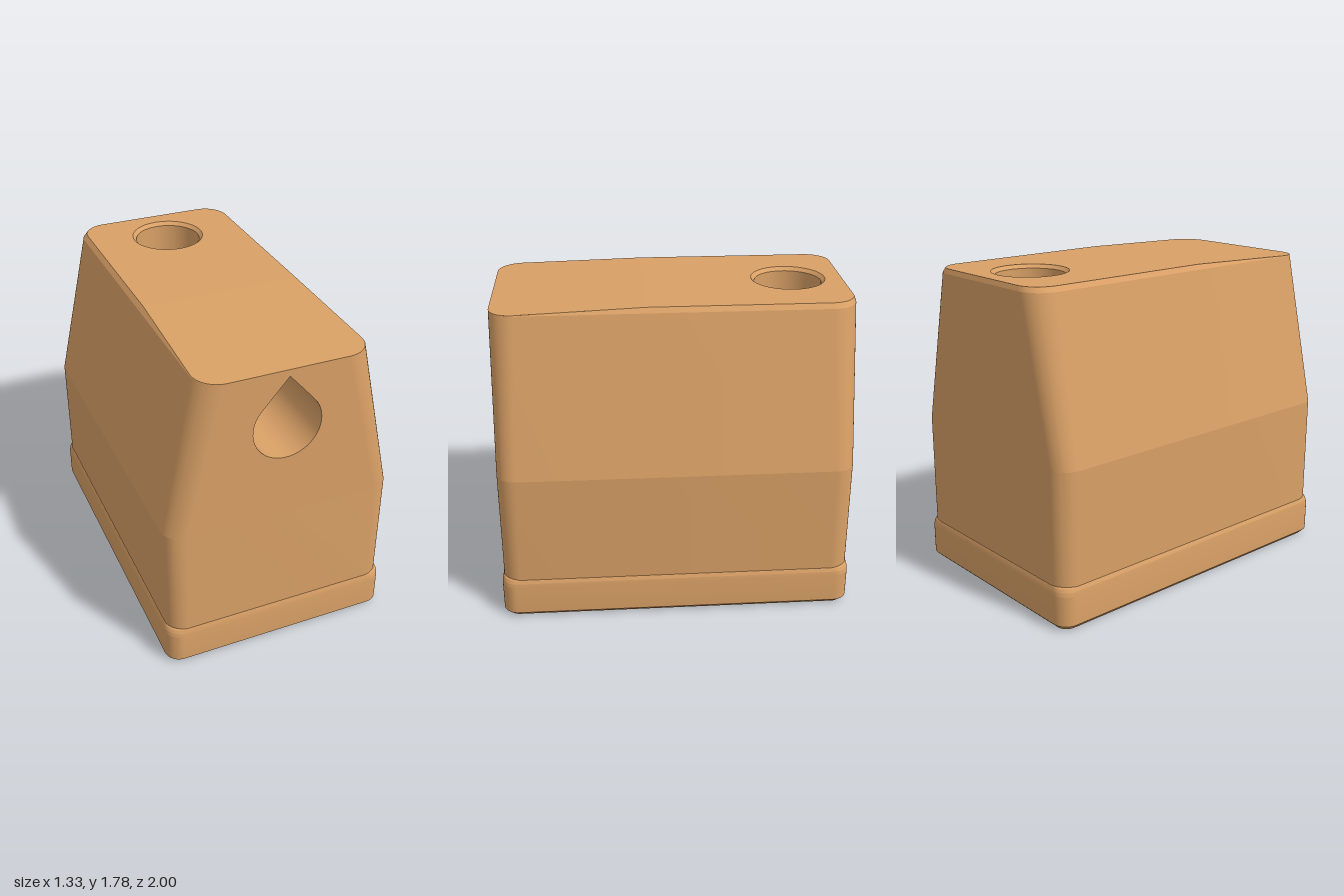
import * as THREE from 'three';
import { toCreasedNormals } from 'three/addons/utils/BufferGeometryUtils.js';

const N = 12;                    // segments per rounded corner
const SPLIT_Z = 0.15;            // where the top starts to slope forward
const TOP = 1.785, RIM = 1.758;  // top height at the back and at the front edge
const FRONT_SEG = 3 * N + 4;     // index of the flat front segment in a section
const HOLE_Z = -0.673, HOLE_R = 0.19;

const topY = (z) => TOP - (TOP - RIM) * Math.max(0, (z - SPLIT_Z) / (0.987 - SPLIT_Z));

// Rounded rectangle at height y, counter-clockwise from above
function section(y, hx, hz, r) {
  const pts = [];
  for (let k = 0; k < 4; k++) {
    const cx = (k === 0 || k === 3 ? 1 : -1) * (hx - r);
    const cz = (k < 2 ? -1 : 1) * (hz - r);
    if (k === 0) pts.push(new THREE.Vector3(hx, y, SPLIT_Z));
    if (k === 2) pts.push(new THREE.Vector3(-hx, y, SPLIT_Z));
    for (let i = 0; i <= N; i++) {
      const a = (k + i / N) * Math.PI / 2;
      pts.push(new THREE.Vector3(cx + r * Math.cos(a), y, cz - r * Math.sin(a)));
    }
  }
  return pts;
}

// Skin closed rings of points; skip(band, segment) leaves openings
function loft(rings, skip = () => false) {
  const n = rings[0].length, pos = [], index = [];
  rings.flat().forEach((p) => pos.push(p.x, p.y, p.z));
  for (let j = 0; j < rings.length - 1; j++) {
    for (let i = 0; i < n; i++) {
      if (skip(j, i)) continue;
      const a = j * n + i, b = j * n + (i + 1) % n;
      index.push(a, b, a + n, b, b + n, a + n);
    }
  }
  const g = new THREE.BufferGeometry();
  g.setAttribute('position', new THREE.Float32BufferAttribute(pos, 3));
  g.setIndex(index);
  return toCreasedNormals(g, 0.17);
}

const lathe = (pts) =>
  toCreasedNormals(new THREE.LatheGeometry(pts.map(([r, y]) => new THREE.Vector2(r, y)), 64), 0.17);

// Flat panel from an outline and an optional hole
function panel(outline, hole) {
  const s = new THREE.Shape(outline);
  if (hole) s.holes.push(new THREE.Path(hole));
  return new THREE.ShapeGeometry(s);
}

function circle(cx, cy, r) {
  return Array.from({ length: 64 }, (_, i) => {
    const a = i / 64 * Math.PI * 2;
    return new THREE.Vector2(cx + r * Math.cos(a), cy + r * Math.sin(a));
  });
}

// Teardrop outline with its point upwards
function teardrop(cy, r, apex) {
  const a = Math.acos(r / (apex - cy)), pts = [new THREE.Vector2(0, apex)];
  for (let i = 0; i <= 48; i++) {
    const t = Math.PI / 2 + a + (i / 48) * (Math.PI * 2 - 2 * a);
    pts.push(new THREE.Vector2(r * Math.cos(t), cy + r * Math.sin(t)));
  }
  return pts;
}

export function createModel() {
  const model = new THREE.Group();
  const tan = new THREE.MeshStandardMaterial({ color: 0xd9a066 });
  tan.name = 'tan';
  const add = (name, geometry, parent = model) => {
    const m = new THREE.Mesh(geometry, tan);
    m.name = name;
    parent.add(m);
    return m;
  };

  // Tapered body with a chamfer that fades out along the sloping top
  const shoulder = section(0.88, 0.656, 0.989, 0.11);
  const rim = section(RIM, 0.471, 0.987, 0.14);
  const crown = rim.map((p) => {
    const y = topY(p.z), t = (y - RIM) / (TOP - RIM);
    return new THREE.Vector3(p.x * (1 - 0.045 * t), y, p.z * (1 - 0.009 * t));
  });
  add('bodyShell', loft([section(0.22, 0.65, 0.99, 0.1), shoulder, rim, crown],
    (band, seg) => band === 1 && seg === FRONT_SEG));

  // Upper front panel with the teardrop bore
  const corners = [shoulder[FRONT_SEG], shoulder[FRONT_SEG + 1], rim[FRONT_SEG + 1], rim[FRONT_SEG]];
  const drop = teardrop(1.43, HOLE_R, 1.72);
  const frontZ = (y) => 0.989 - 0.002 * (y - 0.88) / (RIM - 0.88);
  const front = panel(corners.map((p) => new THREE.Vector2(p.x, p.y)), drop);
  const fp = front.attributes.position;
  for (let i = 0; i < fp.count; i++) fp.setZ(i, frontZ(fp.getY(i)));
  front.computeVertexNormals();
  add('frontPanel', front);
  const boreEnd = 0.35;
  add('teardropBore', loft([
    drop.map((p) => new THREE.Vector3(p.x, p.y, frontZ(p.y))),
    drop.map((p) => new THREE.Vector3(p.x, p.y, boreEnd)),
  ]));
  add('teardropBoreEnd', panel(drop).translate(0, 0, boreEnd));

  // Top: level rear with a round hole, sloping front
  const flat = crown.map((p) => new THREE.Vector2(p.x, -p.z));
  const half = 2 * N + 3;
  const tops = {
    topRear: panel(flat.slice(0, half + 1), circle(0, -HOLE_Z, 0.21)),
    topFront: panel([...flat.slice(half), flat[0]]),
  };
  for (const [name, g] of Object.entries(tops)) {
    g.rotateX(-Math.PI / 2);
    const p = g.attributes.position;
    for (let i = 0; i < p.count; i++) p.setY(i, topY(p.getZ(i)));
    g.computeVertexNormals();
    add(name, g);
  }
  add('topBore', lathe([[0.21, TOP], [HOLE_R, TOP - 0.02], [HOLE_R, 1.15], [0, 1.15]]))
    .position.z = HOLE_Z;

  // Base skirt with chamfered bottom and rounded upper edge
  const base = new THREE.Group();
  base.name = 'base';
  model.add(base);
  const foot = section(0, 0.633, 0.97, 0.06);
  add('skirt', loft([
    foot,
    section(0.03, 0.663, 1, 0.085),
    section(0.2, 0.663, 1, 0.085),
    section(0.222, 0.66, 0.997, 0.085),
    section(0.24, 0.653, 0.992, 0.085),
    section(0.25, 0.643, 0.984, 0.085),
  ]), base);

  // Hollow underside
  const depth = 0.2, ix = 0.572, iz = 0.908;
  const box = [[ix, iz], [ix, -iz], [-ix, -iz], [-ix, iz]];
  const opening = box.map(([x, z]) => new THREE.Vector2(x, z));
  add('bottomRim', panel(foot.map((p) => new THREE.Vector2(p.x, p.z)), opening)
    .rotateX(Math.PI / 2), base);
  add('cavityWalls', loft([depth, 0].map((y) => box.map(([x, z]) => new THREE.Vector3(x, y, z)))), base);
  add('cavityCeiling', panel(opening).rotateX(Math.PI / 2).translate(0, depth, 0), base);
  for (const z of [-0.338, 0.338]) {
    add('socketTube', lathe([[0.187, depth], [0.187, 0], [0.303, 0], [0.303, depth]]), base)
      .position.z = z;
  }
  return model;
}
